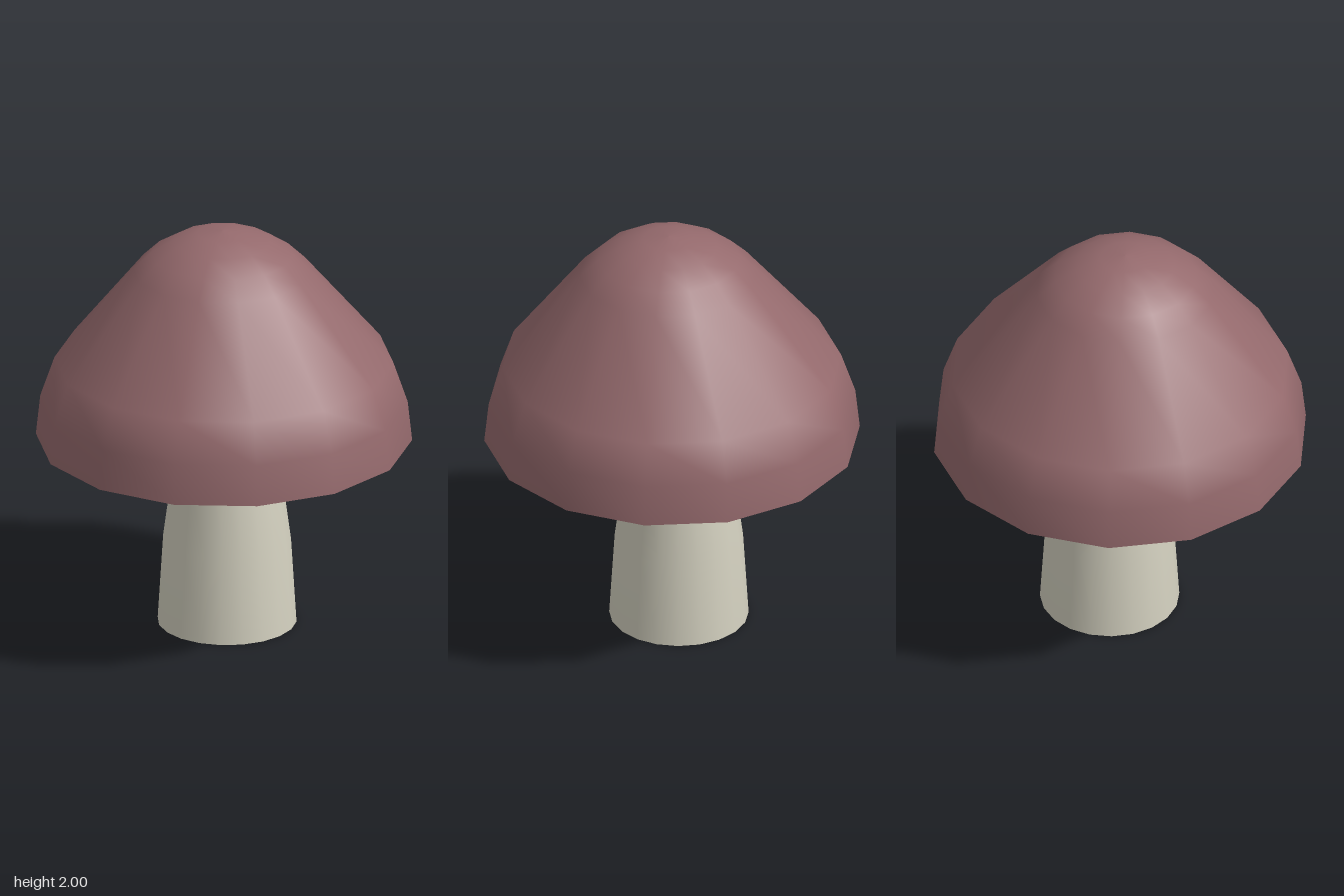
import * as THREE from 'three';

// Smooth turned side plus a flat disc closing its base
function turned(name, profile, sides, color) {
  const part = new THREE.Group();
  part.name = name;
  const material = new THREE.MeshStandardMaterial({ color });
  const points = profile.map(([r, y]) => new THREE.Vector2(r, y));
  const side = new THREE.Mesh(new THREE.LatheGeometry(points, sides, Math.PI / 2), material);
  side.name = name + 'Side';
  const disc = new THREE.CircleGeometry(profile[0][0], sides).rotateX(Math.PI / 2);
  const base = new THREE.Mesh(disc, material);
  base.position.y = profile[0][1];
  base.name = name + 'Underside';
  part.add(side, base);
  return part;
}

export function createModel() {
  const model = new THREE.Group();
  model.name = 'mushroom';

  // Stem: slightly off centre, tapering up into the cap
  const stem = turned('stem', [
    [0.328, 0], [0.302, 0.42], [0.25, 0.81], [0.23, 0.945], [0.22, 1.0],
  ], 20, 0xd3d0bf);
  stem.position.set(0.045, 0, -0.02);

  // Cap: 14-sided bell with a rounded crown
  const cap = turned('cap', [
    [0.886, 0.945], [0.865, 1.14], [0.798, 1.335], [0.421, 1.8],
    [0.336, 1.883], [0.232, 1.947], [0.119, 1.989], [0, 2],
  ], 14, 0x94696c);

  // The crown leans a little to one side
  const pos = cap.children[0].geometry.attributes.position;
  for (let i = 0; i < pos.count; i++) {
    if (pos.getY(i) > 1.5) {
      pos.setX(i, pos.getX(i) - 0.023);
      pos.setZ(i, pos.getZ(i) + 0.01);
    }
  }

  model.add(stem, cap);
  return model;
}
